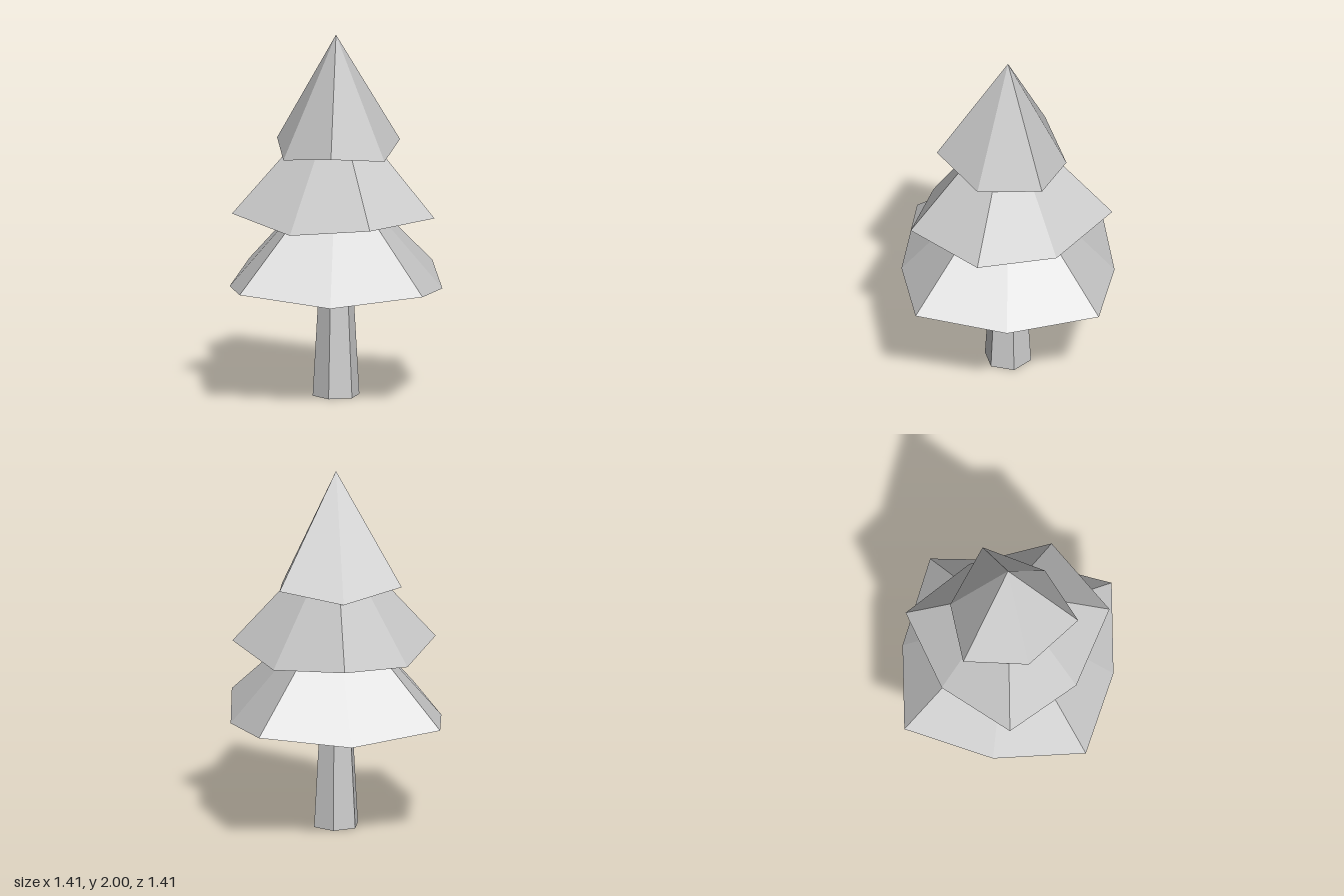
import * as THREE from 'three';

// One foliage tier: a faceted cone whose rim corners alternate between
// wide-and-raised and narrow-and-drooping, closed by a fan underneath.
function tierGeometry({ sides, startDeg, wide, y, apex }) {
  const rim = [];
  for (let i = 0; i < sides; i++) {
    const a = THREE.MathUtils.degToRad(startDeg) + (i / sides) * Math.PI * 2;
    const even = i % 2 === 0;
    const r = even ? wide : wide * 0.822;
    rim.push([r * Math.cos(a), y + (even ? 0.027 : -0.027), r * Math.sin(a)]);
  }
  const top = [0, apex, 0];
  const under = [0, y, 0];
  const positions = [];
  rim.forEach((p, i) => {
    const q = rim[(i + 1) % sides];
    positions.push(...top, ...q, ...p, ...under, ...p, ...q);
  });
  const geometry = new THREE.BufferGeometry();
  geometry.setAttribute('position', new THREE.Float32BufferAttribute(positions, 3));
  geometry.computeVertexNormals();
  return geometry;
}

export function createModel() {
  const group = new THREE.Group();
  group.name = 'pineTree';

  const grey = new THREE.MeshStandardMaterial({ color: 0xcccccc, flatShading: true });
  grey.name = 'lightGrey';

  const add = (name, geometry) => {
    const mesh = new THREE.Mesh(geometry, grey);
    mesh.name = name;
    group.add(mesh);
    return mesh;
  };

  // Tapered six-sided trunk, corners on the x axis
  const trunk = add('trunk', new THREE.CylinderGeometry(0.092, 0.13, 0.66, 6));
  trunk.rotation.y = Math.PI / 6;
  trunk.position.y = 0.33;

  // Foliage, from the ground up
  add('lowerTier', tierGeometry({ sides: 8, startDeg: 0, wide: 0.705, y: 0.624, apex: 1.28 }));
  add('middleTier', tierGeometry({ sides: 7, startDeg: 23, wide: 0.569, y: 0.992, apex: 1.66 }));
  add('upperTier', tierGeometry({ sides: 6, startDeg: 46, wide: 0.387, y: 1.358, apex: 2 }));

  return group;
}
